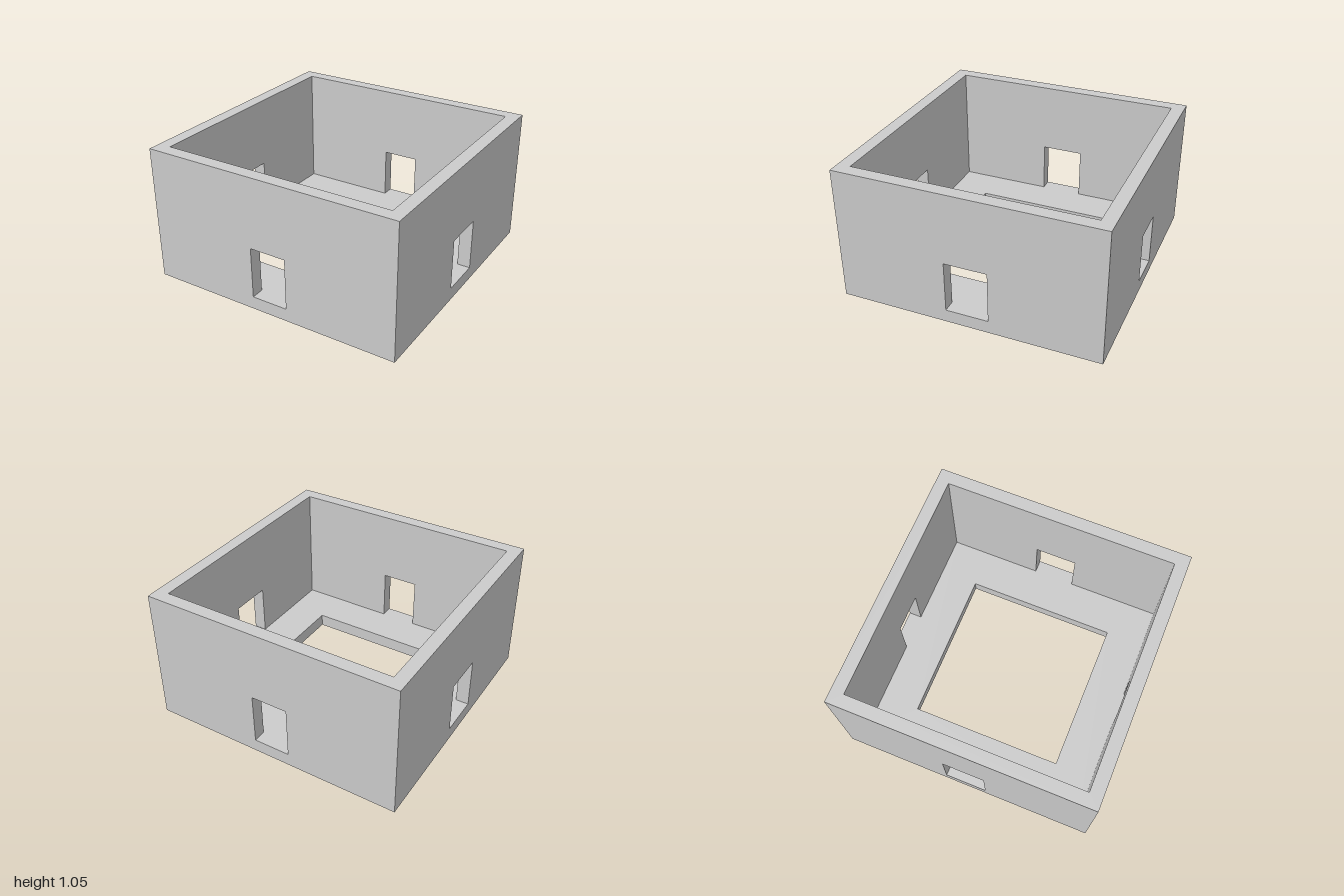
import * as THREE from 'three';

const HALF = 1, HEIGHT = 1.046, INNER = 0.9, FLOOR = 0.1, LINTEL = 0.497, PIT = 0.596;

const material = new THREE.MeshStandardMaterial({ color: 0xcccccc, flatShading: true });

// Rectangle outline, usable as a shape or as a hole
function rect(path, x0, y0, x1, y1) {
  path.moveTo(x0, y0);
  path.lineTo(x1, y0);
  path.lineTo(x1, y1);
  path.lineTo(x0, y1);
  path.closePath();
  return path;
}

// Wall panel on the +z side with one opening and mitred ends
function wallGeometry(halfOpening) {
  const shape = rect(new THREE.Shape(), -HALF, 0, HALF, HEIGHT);
  shape.holes.push(rect(new THREE.Path(), -halfOpening, FLOOR, halfOpening, LINTEL));
  const geometry = new THREE.ExtrudeGeometry(shape, { depth: HALF - INNER, bevelEnabled: false });
  geometry.translate(0, 0, INNER);
  const p = geometry.attributes.position;
  for (let i = 0; i < p.count; i++) {
    const x = p.getX(i);
    if (Math.abs(x) > 0.5 && p.getZ(i) < 0.95) p.setX(i, Math.sign(x) * INNER);
  }
  geometry.computeVertexNormals();
  return geometry;
}

export function createModel() {
  const model = new THREE.Group();
  model.name = 'openRoom';

  // Four walls; the side openings are slightly wider
  ['frontWall', 'leftWall', 'backWall', 'rightWall'].forEach((name, i) => {
    const wall = new THREE.Mesh(wallGeometry(i % 2 ? 0.163 : 0.142), material);
    wall.name = name;
    wall.rotation.y = i * Math.PI / 2;
    model.add(wall);
  });

  // Floor ledge around a square opening
  const ledge = rect(new THREE.Shape(), -INNER, -INNER, INNER, INNER);
  ledge.holes.push(rect(new THREE.Path(), -PIT, -PIT, PIT, PIT));
  const floor = new THREE.Mesh(
    new THREE.ExtrudeGeometry(ledge, { depth: FLOOR, bevelEnabled: false }).rotateX(-Math.PI / 2),
    material
  );
  floor.name = 'floorLedge';
  model.add(floor);

  return model;
}
